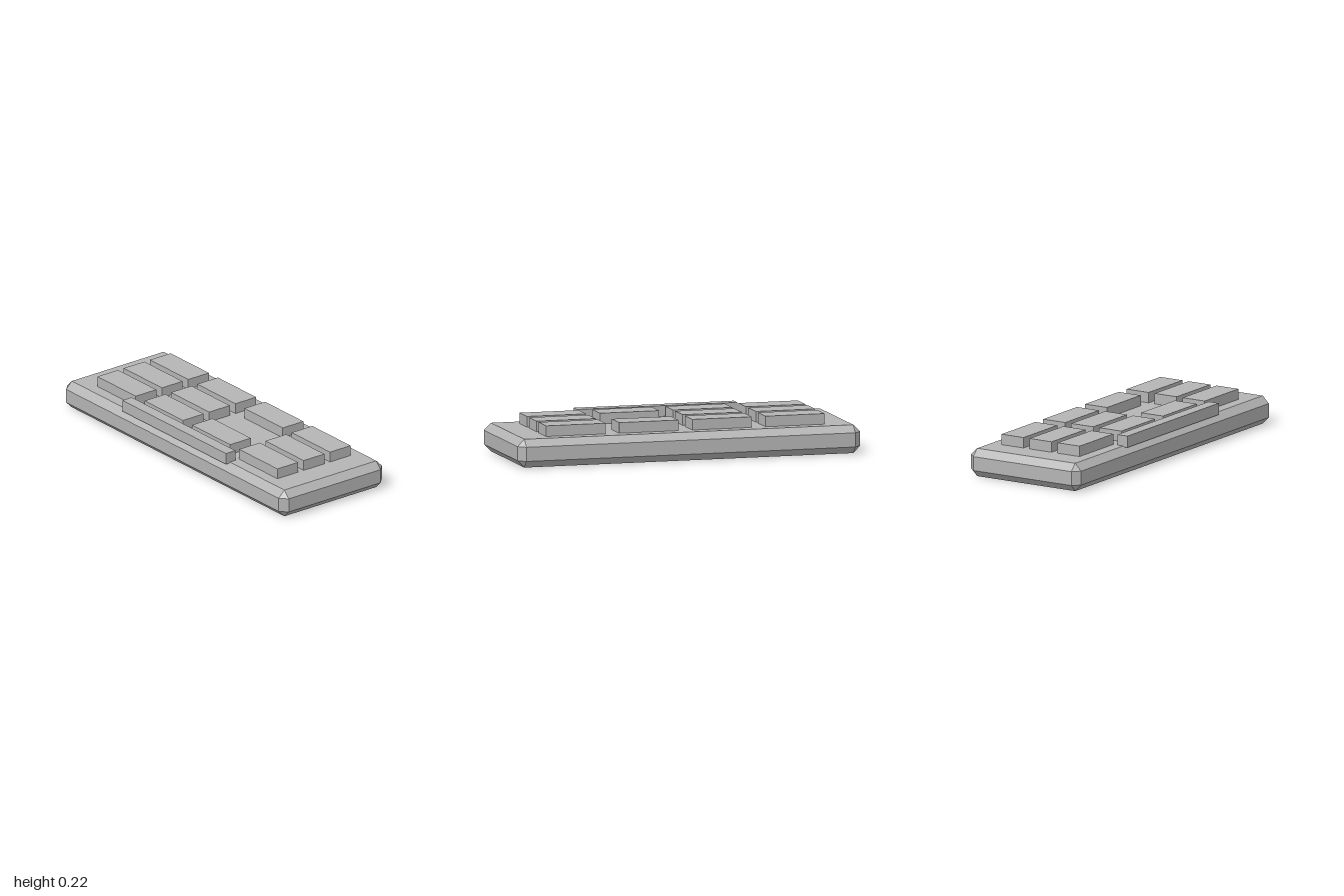
import * as THREE from 'three';
import { ConvexGeometry } from 'three/addons/geometries/ConvexGeometry.js';

// Box of half sizes (hx, hy, hz) with every edge cut back by c
function chamferedBox(hx, hy, hz, c) {
  const points = [];
  for (const sx of [-1, 1]) for (const sy of [-1, 1]) for (const sz of [-1, 1]) {
    points.push(
      new THREE.Vector3(sx * hx, sy * (hy - c), sz * (hz - c)),
      new THREE.Vector3(sx * (hx - c), sy * hy, sz * (hz - c)),
      new THREE.Vector3(sx * (hx - c), sy * (hy - c), sz * hz),
    );
  }
  return new ConvexGeometry(points);
}

export function createModel() {
  const model = new THREE.Group();
  model.name = 'keyboard';
  const grey = new THREE.MeshStandardMaterial({ color: 0xb4b4b4 });
  grey.name = 'grey plastic';

  const add = (name, geometry, x, y, z) => {
    const mesh = new THREE.Mesh(geometry, grey);
    mesh.name = name;
    mesh.position.set(x, y, z);
    model.add(mesh);
  };

  // Case with bevelled edges
  add('case', chamferedBox(1, 0.08, 0.367, 0.04), 0, 0.08, 0);

  // Three rows of four keys, with one gap in the middle row
  const keyGeometry = new THREE.BoxGeometry(0.346, 0.066, 0.147);
  for (let row = 0; row < 3; row++) {
    for (let column = 0; column < 4; column++) {
      if (row === 1 && column === 2) continue;
      add('key', keyGeometry, (column - 1.5) * 0.4267, 0.187, (row - 1) * 0.187);
    }
  }

  // Long bar along the front edge
  add('spaceBar', new THREE.BoxGeometry(0.936, 0.066, 0.067), 0, 0.187, 0.321);

  return model;
}
